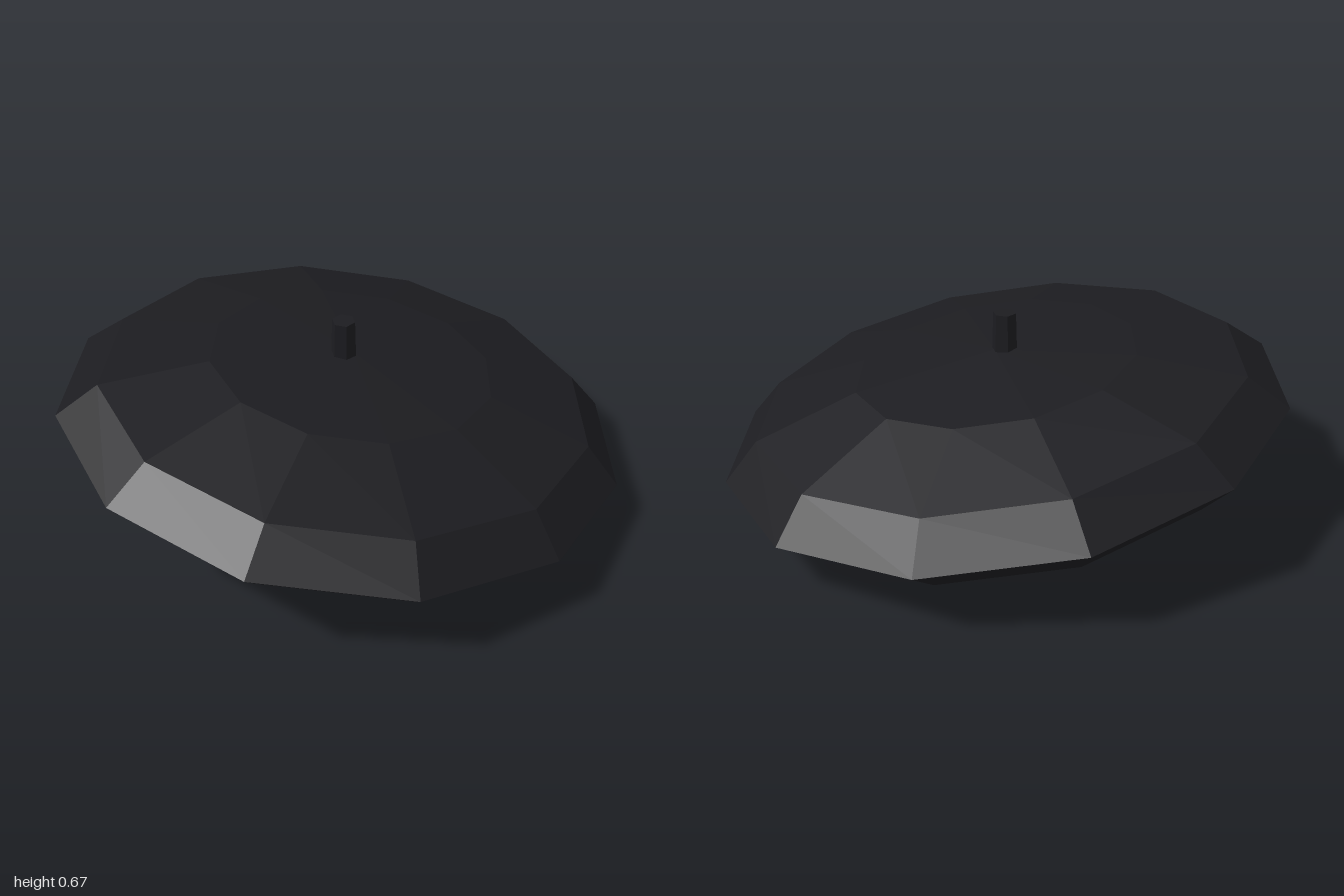
import * as THREE from 'three';

export function createModel() {
  const model = new THREE.Group();
  const dark = new THREE.MeshStandardMaterial({ color: 0x1c1c20, flatShading: true });

  // Flattened twelve-sided disc, tilted down towards the left
  const disc = new THREE.Mesh(new THREE.SphereGeometry(1, 12, 6), dark);
  disc.name = 'disc';
  disc.scale.set(1.011, 0.247, 0.967);
  disc.rotation.z = -Math.atan2(0.3, 2);
  disc.position.y = 0.298;
  model.add(disc);

  // Upright hexagonal stem, slightly tapered, sunk into the disc
  const bottom = 0.51, top = 0.677;
  const stem = new THREE.Mesh(new THREE.CylinderGeometry(0.041, 0.046, top - bottom, 6), dark);
  stem.name = 'stem';
  stem.position.y = (top + bottom) / 2;
  model.add(stem);

  return model;
}
